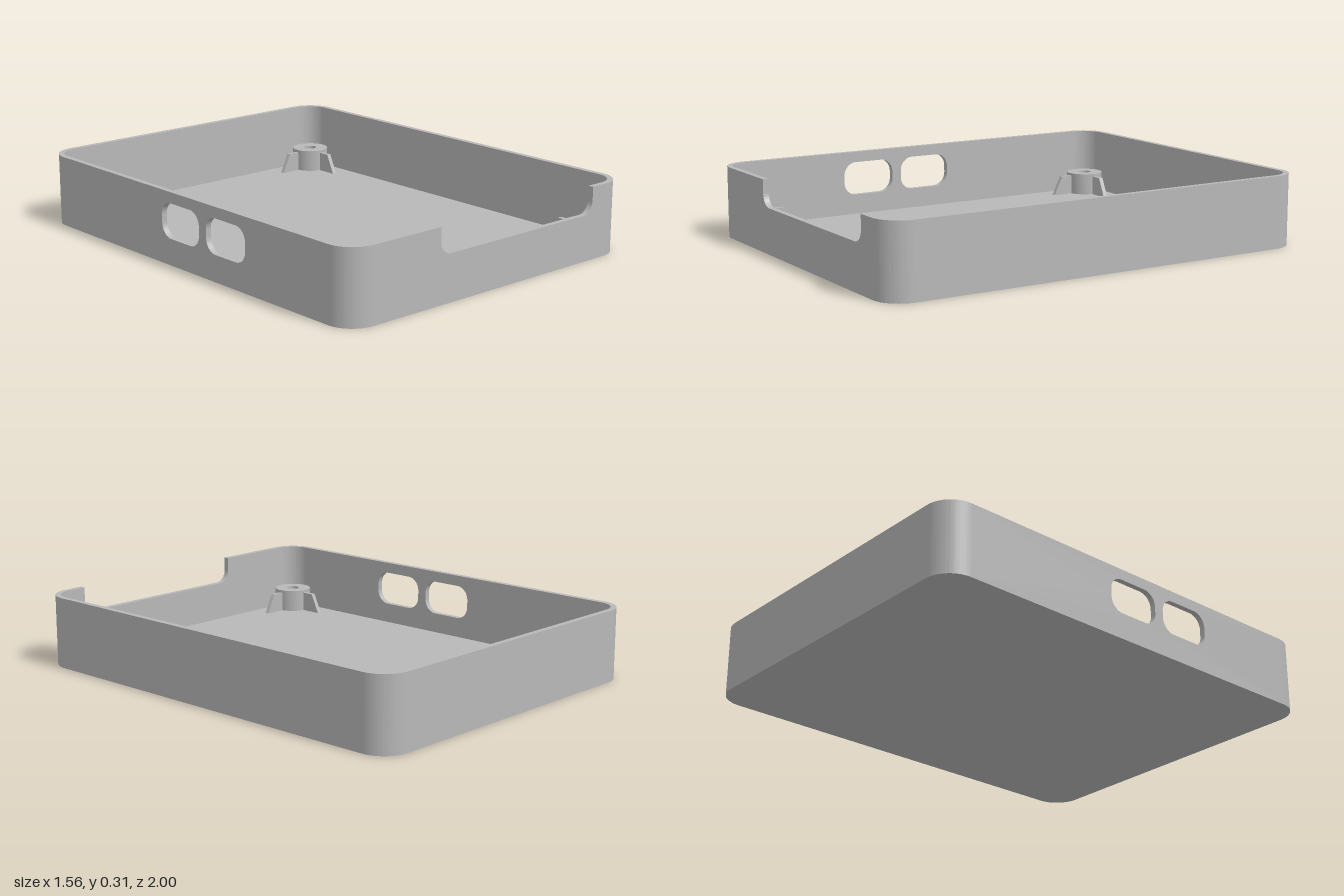
import * as THREE from 'three';
import { toCreasedNormals } from 'three/addons/utils/BufferGeometryUtils.js';

const HX = 0.78, HZ = 1, H = 0.315;   // half width, half length, height
const R = 0.12, T = 0.025;            // corner radius, wall and floor thickness
const CX = HX - R, CZ = HZ - R;       // centres of the rounded corners

// Rounded rectangle traced on a Shape or Path
function roundedRect(p, x0, y0, x1, y1, r) {
  p.moveTo(x0 + r, y0);
  p.lineTo(x1 - r, y0);
  p.absarc(x1 - r, y0 + r, r, -Math.PI / 2, 0);
  p.lineTo(x1, y1 - r);
  p.absarc(x1 - r, y1 - r, r, 0, Math.PI / 2);
  p.lineTo(x0 + r, y1);
  p.absarc(x0 + r, y1 - r, r, Math.PI / 2, Math.PI);
  p.lineTo(x0, y0 + r);
  p.absarc(x0 + r, y0 + r, r, Math.PI, Math.PI * 1.5);
  return p;
}

function extrude(shape, depth) {
  return new THREE.ExtrudeGeometry(shape, { depth, bevelEnabled: false, curveSegments: 16 });
}

function polygon(points) {
  return new THREE.Shape(points.map(([x, y]) => new THREE.Vector2(x, y)));
}

function wallShape(half) {
  return polygon([[-half, 0], [half, 0], [half, H], [-half, H]]);
}

export function createModel() {
  const model = new THREE.Group();
  model.name = 'enclosureTray';
  const grey = new THREE.MeshStandardMaterial({ color: 0xb8b8b8 });
  grey.name = 'grey plastic';

  function add(name, geometry, parent = model) {
    const mesh = new THREE.Mesh(toCreasedNormals(geometry, 0.5), grey);
    mesh.name = name;
    parent.add(mesh);
    return mesh;
  }

  // Floor plate inside the walls
  const floor = roundedRect(new THREE.Shape(), -HX + T, -HZ + T, HX - T, HZ - T, R - T);
  add('floor', extrude(floor, T).rotateX(-Math.PI / 2));

  // Front wall with a round-cornered notch in its rim
  const n0 = -0.31, n1 = 0.575, ny = 0.2, nr = 0.055;
  const front = new THREE.Shape();
  front.moveTo(-CX, 0);
  front.lineTo(CX, 0);
  front.lineTo(CX, H);
  front.lineTo(n1, H);
  front.lineTo(n1, ny + nr);
  front.absarc(n1 - nr, ny + nr, nr, 0, -Math.PI / 2, true);
  front.lineTo(n0 + nr, ny);
  front.absarc(n0 + nr, ny + nr, nr, -Math.PI / 2, -Math.PI, true);
  front.lineTo(n0, H);
  front.lineTo(-CX, H);
  add('frontWall', extrude(front, T).translate(0, 0, HZ - T));

  // Plain back wall and left wall
  add('backWall', extrude(wallShape(CX), T).translate(0, 0, -HZ));
  add('leftWall', extrude(wallShape(CZ), T).rotateY(-Math.PI / 2).translate(HX, 0, 0));

  // Right wall with two port openings
  const right = wallShape(CZ);
  for (const z of [-0.15, 0.145]) {
    right.holes.push(roundedRect(new THREE.Path(), z, 0.115, z + 0.25, 0.267, 0.06));
  }
  add('rightWall', extrude(right, T).rotateY(-Math.PI / 2).translate(-HX + T, 0, 0));

  // Rounded corner walls
  const arc = new THREE.Shape();
  arc.absarc(0, 0, R, 0, Math.PI / 2);
  arc.absarc(0, 0, R - T, Math.PI / 2, 0, true);
  const corners = [[1, -1], [-1, -1], [-1, 1], [1, 1]];
  corners.forEach(([sx, sz], i) => {
    const g = extrude(arc, H).rotateX(-Math.PI / 2).rotateY(i * Math.PI / 2);
    add('cornerWall', g.translate(sx * CX, 0, sz * CZ));
  });

  // Screw posts, each with two sloping ribs pointing inwards
  const postTop = 0.125, ribTop = 0.113;
  const profile = [[0.085, T], [0.085, postTop], [0.03, postTop], [0.03, T]]
    .map(([x, y]) => new THREE.Vector2(x, y));
  const ribShape = polygon([[0.075, T], [0.182, T], [0.14, ribTop], [0.075, ribTop]]);
  for (const [sx, sz] of corners) {
    const post = new THREE.Group();
    post.name = 'screwPost';
    post.position.set(sx * 0.667, 0, sz * 0.887);
    add('postTube', new THREE.LatheGeometry(profile, 40), post);
    for (const angle of [sx > 0 ? Math.PI : 0, sz * Math.PI / 2]) {
      add('postRib', extrude(ribShape, 0.02).translate(0, 0, -0.01).rotateY(angle), post);
    }
    model.add(post);
  }
  return model;
}
